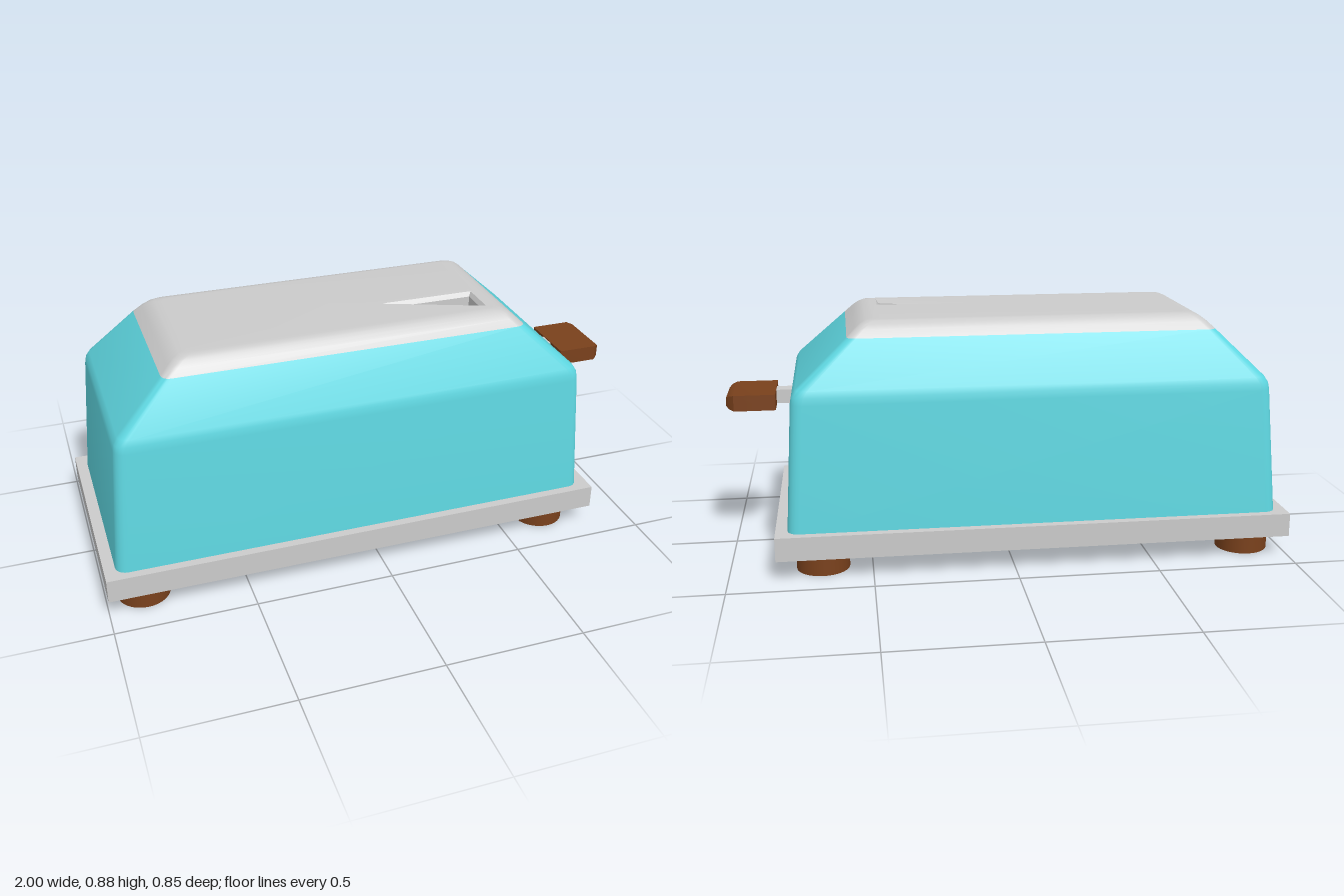
import * as THREE from 'three';
import { mergeGeometries, toCreasedNormals } from 'three/addons/utils/BufferGeometryUtils.js';

const V = (x, y, z) => new THREE.Vector3(x, y, z);
const grey = new THREE.MeshStandardMaterial({ color: 0xcccccc });
const greyInside = new THREE.MeshStandardMaterial({ color: 0xcccccc, side: THREE.DoubleSide });
const teal = new THREE.MeshStandardMaterial({ color: 0x5fd8e2, side: THREE.DoubleSide });
const brown = new THREE.MeshStandardMaterial({ color: 0x7a411c });
const black = new THREE.MeshStandardMaterial({ color: 0x1c1c1c, side: THREE.DoubleSide });

// Horizontal rounded rectangle; its last-to-first edge is the flat +x side
function ring([y, x0, x1, hz, r]) {
  const pts = [], n = 5;
  for (let q = 0; q < 4; q++) {
    const cx = q === 0 || q === 3 ? x1 - r : x0 + r;
    const cz = q < 2 ? -hz + r : hz - r;
    for (let i = 0; i <= n; i++) {
      const a = (q + i / n) * Math.PI / 2;
      pts.push(V(cx + r * Math.cos(a), y, cz - r * Math.sin(a)));
    }
  }
  return pts;
}

// Skin between matching rings; skipBand leaves the closing edge of that band open
function loft(rings, { start = false, end = false, skipBand = -1 } = {}) {
  const p = [], n = rings[0].length;
  const tri = (a, b, c) => { for (const v of [a, b, c]) p.push(v.x, v.y, v.z); };
  for (let k = 0; k < rings.length - 1; k++) {
    const a = rings[k], b = rings[k + 1];
    for (let i = 0; i < n; i++) {
      const j = (i + 1) % n;
      if (k === skipBand && j === 0) continue;
      tri(a[i], a[j], b[j]);
      tri(a[i], b[j], b[i]);
    }
  }
  const last = rings[rings.length - 1];
  for (let i = 1; i < n - 1; i++) {
    if (start) tri(rings[0][0], rings[0][i + 1], rings[0][i]);
    if (end) tri(last[0], last[i], last[i + 1]);
  }
  const g = new THREE.BufferGeometry();
  g.setAttribute('position', new THREE.Float32BufferAttribute(p, 3));
  return g;
}

// Flat face with one hole, reduced to bare positions
function holedFace(outline, hole) {
  const shape = new THREE.Shape(outline);
  shape.holes.push(new THREE.Path(hole));
  const g = new THREE.ShapeGeometry(shape).toNonIndexed();
  g.deleteAttribute('uv');
  g.deleteAttribute('normal');
  return g;
}

const smooth = (parts, angle = 0.6) => toCreasedNormals(mergeGeometries(parts), angle);

export function createModel() {
  const group = new THREE.Group();
  const add = (name, geometry, material, x = 0, y = 0, z = 0) => {
    const m = new THREE.Mesh(geometry, material);
    m.name = name;
    m.position.set(x, y, z);
    group.add(m);
    return m;
  };
  const v2 = (x, y) => new THREE.Vector2(x, y);

  // Base plate and four round feet
  add('basePlate', new THREE.BoxGeometry(1.835, 0.085, 0.845), grey, -0.0825, 0.1175, 0);
  for (const x of [-0.865, 0.675]) for (const z of [-0.292, 0.3])
    add('foot', new THREE.CylinderGeometry(0.094, 0.094, 0.077, 32), brown, x, 0.0385, z);

  // Housing: tapering wall, soft shoulder, sloping upper part
  const bodyRings = [
    [0.155, -0.96, 0.793, 0.391, 0.04],
    [0.61, -0.922, 0.765, 0.375, 0.04],
    [0.635, -0.917, 0.76, 0.373, 0.04],
    [0.657, -0.903, 0.747, 0.367, 0.04],
    [0.82, -0.735, 0.567, 0.295, 0.03],
  ].map(ring);
  const low = bodyRings[0], high = bodyRings[1], end = low.length - 1;
  const wallX = y => THREE.MathUtils.mapLinear(y, low[0].y, high[0].y, low[0].x, high[0].x);

  // End wall with the lever slot cut through
  const slot = [[-0.036, 0.262], [0.039, 0.262], [0.039, 0.59], [-0.036, 0.59]];
  const endWall = holedFace(
    [low[end], low[0], high[0], high[end]].map(p => v2(-p.z, p.y)),
    slot.map(([u, y]) => v2(u, y)));
  endWall.rotateY(Math.PI / 2);
  const pos = endWall.attributes.position;
  for (let i = 0; i < pos.count; i++) pos.setX(i, wallX(pos.getY(i)));
  add('housing', smooth([loft(bodyRings, { skipBand: 0 }), endWall]), teal);

  // Slot channel and its dark back
  const slotFront = slot.map(([u, y]) => V(wallX(y), y, -u));
  const slotBack = slot.map(([u, y]) => V(0.64, y, -u));
  add('leverSlotWalls', smooth([loft([slotFront, slotBack])], 0.3), greyInside);
  add('leverSlotBack', new THREE.PlaneGeometry(0.075, 0.328).rotateY(Math.PI / 2), black, 0.641, 0.426, -0.0015);

  // Lid: rounded rim and flat top with a three-cornered opening
  const lidRings = [
    [0.82, -0.735, 0.567, 0.295, 0.03],
    [0.846, -0.707, 0.54, 0.278, 0.03],
    [0.862, -0.686, 0.52, 0.264, 0.03],
    [0.872, -0.663, 0.5, 0.25, 0.03],
    [0.875, -0.635, 0.475, 0.232, 0.03],
  ].map(ring);
  const opening = [[0.1, 0.068], [0.45, 0.205], [0.45, 0.068]];
  const lidTop = holedFace(
    lidRings[4].map(p => v2(p.x, -p.z)),
    opening.map(([x, z]) => v2(x, -z)));
  lidTop.rotateX(-Math.PI / 2).translate(0, 0.875, 0);
  add('lid', smooth([loft(lidRings), lidTop]), grey);

  // Opening well: small bevelled lip, then straight walls to a floor
  const inner = [[0.15, 0.08], [0.44, 0.193], [0.44, 0.08]];
  const level = (pts, y) => pts.map(([x, z]) => V(x, y, z));
  add('openingWell', smooth([loft(
    [level(opening, 0.875), level(inner, 0.86), level(inner, 0.64)], { end: true })], 0.3), greyInside);

  // Lever: grey stem and tapered grip
  add('leverStem', new THREE.BoxGeometry(0.2, 0.05, 0.06), grey, 0.745, 0.563, -0.002);
  const section = (x, hy, hz) => [[1, -1], [-1, -1], [-1, 1], [1, 1]].map(
    ([sz, sy]) => V(x, 0.5625 + sy * hy, -0.003 + sz * hz));
  add('leverGrip', smooth([loft([
    section(0.825, 0.0285, 0.113), section(0.832, 0.0285, 0.116),
    section(0.972, 0.0285, 0.116), section(0.99, 0.023, 0.1), section(1, 0.014, 0.085),
  ], { start: true, end: true })], 0.5), brown);

  return group;
}
